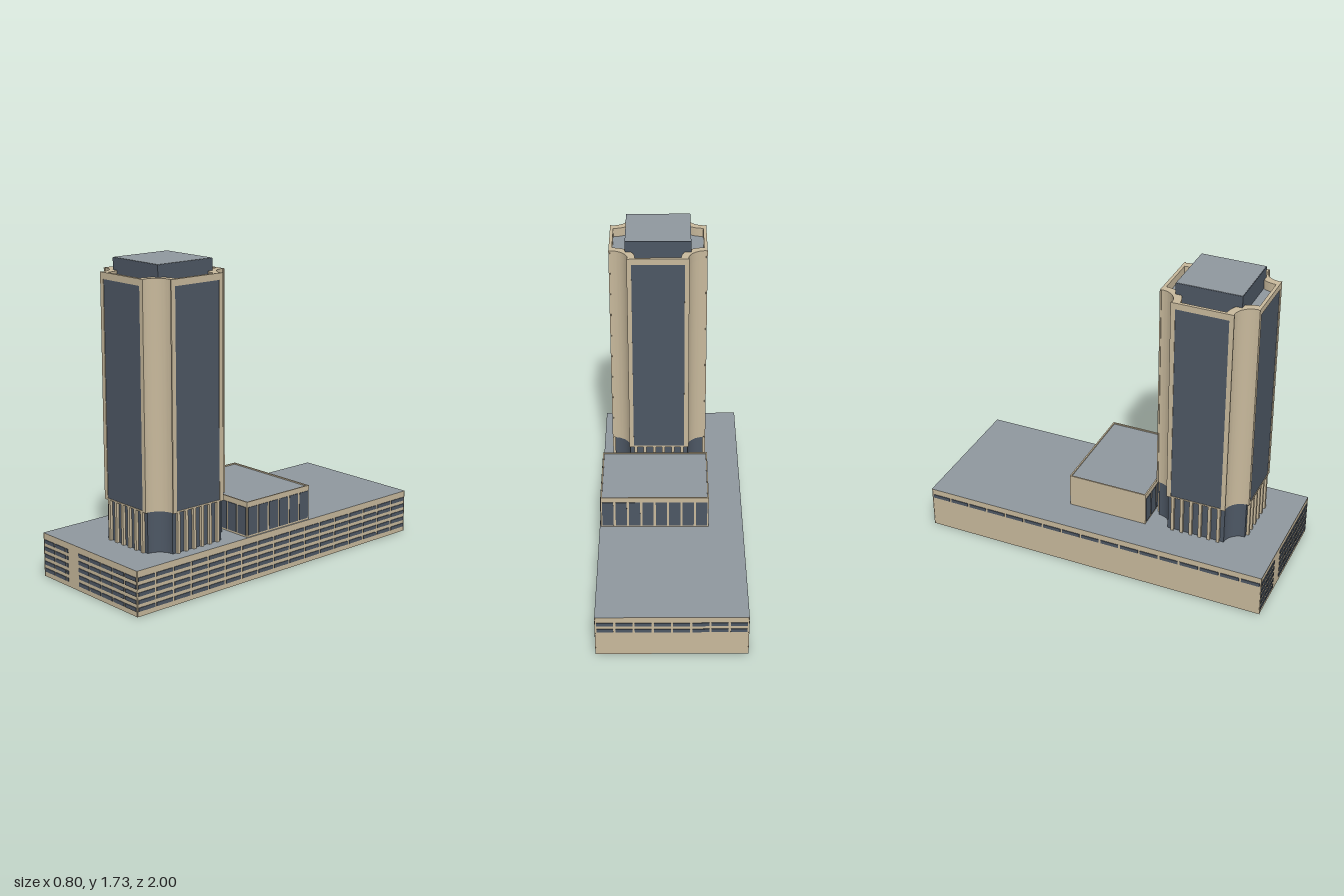
import * as THREE from 'three';
import { toCreasedNormals } from 'three/addons/utils/BufferGeometryUtils.js';

const material = (name, color, side = THREE.FrontSide) => {
  const m = new THREE.MeshStandardMaterial({ color, side });
  m.name = name;
  return m;
};

export function createModel() {
  const stone = material('sandstone', 0xc8b99c, THREE.DoubleSide);
  const glass = material('dark glass', 0x4d5764);
  const roof = material('grey roof', 0x8f989f, THREE.DoubleSide);
  const root = new THREE.Group();
  root.name = 'towerBlock';

  const add = (parent, name, geometry, mat, x = 0, y = 0, z = 0) => {
    const mesh = new THREE.Mesh(geometry, mat);
    mesh.name = name;
    mesh.position.set(x, y, z);
    parent.add(mesh);
    return mesh;
  };
  const box = (parent, name, mat, w, h, d, x, y, z) =>
    add(parent, name, new THREE.BoxGeometry(w, h, d), mat, x, y, z);
  const group = (parent, name, x = 0, z = 0) => {
    const g = new THREE.Group();
    g.name = name;
    g.position.set(x, 0, z);
    parent.add(g);
    return g;
  };
  // A face group: local x runs along the wall, local z points outward
  const face = (parent, name, angle, distance) => {
    const g = group(parent, name, Math.sin(angle) * distance, Math.cos(angle) * distance);
    g.rotation.y = angle;
    return g;
  };
  // A row of evenly spaced window plates between x0 and x1
  const windowRow = (parent, x0, x1, count, gap, y, h, depth = 0.006, z = 0.001) => {
    const pitch = (x1 - x0) / count;
    for (let i = 0; i < count; i++)
      box(parent, 'window', glass, pitch - gap, h, depth, x0 + (i + 0.5) * pitch, y, z);
  };

  // Long base: open underneath, with horizontal window bands
  const base = group(root, 'base');
  const H = 0.245;
  const rows = [0.198, 0.158, 0.118, 0.078, 0.038];
  const sides = [
    ['front', 0, 1, 0.8], ['right', Math.PI / 2, 0.4, 2],
    ['back', Math.PI, 1, 0.8], ['left', -Math.PI / 2, 0.4, 2],
  ];
  for (const [name, angle, distance, width] of sides) {
    const f = face(base, name + 'BaseWall', angle, distance - 0.003);
    add(f, 'wall', new THREE.PlaneGeometry(width, H), stone, 0, H / 2, 0);
    if (name === 'front') {
      for (const y of rows) {
        windowRow(f, -0.395, -0.198, 2, 0.01, y, 0.02);
        box(f, 'window', glass, 0.013, 0.02, 0.006, -0.187, y, 0.001);
        windowRow(f, -0.092, 0.395, 5, 0.01, y, 0.02);
      }
    } else {
      const count = name === 'back' ? 8 : 17;
      const used = { right: 5, back: 2, left: 1 }[name];
      for (const y of rows.slice(0, used))
        windowRow(f, -width / 2 + 0.003, width / 2 - 0.003, count, 0.012, y, 0.02);
    }
  }
  add(base, 'baseRoof', new THREE.PlaneGeometry(0.8, 2).rotateX(-Math.PI / 2), roof, 0, H, 0);

  // Low pavilion on the roof, with a thin parapet and tall windows
  const pavilion = group(root, 'pavilion', 0.0925, 0.02);
  const pw = 0.6, pd = 0.46;
  box(pavilion, 'pavilionBody', stone, pw, 0.185, pd, 0, H + 0.0925, 0);
  box(pavilion, 'pavilionRoof', roof, pw - 0.016, 0.004, pd - 0.016, 0, 0.431, 0);
  for (const s of [-1, 1]) {
    box(pavilion, 'parapet', stone, pw, 0.012, 0.008, 0, 0.434, s * (pd / 2 - 0.004));
    box(pavilion, 'parapet', stone, 0.008, 0.012, pd - 0.016, s * (pw / 2 - 0.004), 0.434, 0);
  }
  for (const [name, angle, distance, width, count] of [
    ['front', 0, pd / 2, pw, 8], ['right', Math.PI / 2, pw / 2, pd, 6], ['back', Math.PI, pd / 2, pw, 8],
  ]) {
    const f = face(pavilion, name + 'PavilionWindows', angle, distance);
    windowRow(f, -width / 2 + 0.002, width / 2 - 0.002, count, 0.012, 0.333, 0.155, 0.006, 0);
  }

  // Tower plan: a square with scooped corners
  const outline = (half, flat, Type = THREE.Shape) => {
    const s = new Type();
    const r = half - flat, q = Math.PI / 2;
    s.moveTo(flat, -half);
    s.absarc(half, -half, r, 2 * q, q, true);
    s.lineTo(half, flat);
    s.absarc(half, half, r, 3 * q, 2 * q, true);
    s.lineTo(-flat, half);
    s.absarc(-half, half, r, 4 * q, 3 * q, true);
    s.lineTo(-half, -flat);
    s.absarc(-half, -half, r, q, 0, true);
    s.closePath();
    return s;
  };
  const prism = (shape, y0, y1) => toCreasedNormals(
    new THREE.ExtrudeGeometry(shape, { depth: y1 - y0, bevelEnabled: false, curveSegments: 10 })
      .rotateX(-Math.PI / 2).translate(0, y0, 0), 0.6);

  const tower = group(root, 'tower', 0.07, 0.54);
  const top = 1.665;

  // Glazed lobby shell, open below
  const lobby = outline(0.255, 0.165);
  lobby.holes.push(outline(0.25, 0.16, THREE.Path));
  add(tower, 'lobby', prism(lobby, 0.005, 0.465), glass);

  // Shaft, sunken roof and parapet
  add(tower, 'shaft', prism(outline(0.262, 0.165), 0.465, 1.61), stone);
  add(tower, 'towerRoof', prism(outline(0.255, 0.155), 1.61, 1.615), roof);
  const parapet = outline(0.262, 0.165);
  parapet.holes.push(outline(0.252, 0.125, THREE.Path));
  add(tower, 'towerParapet', prism(parapet, 1.61, top), stone);

  // Framed glass and lobby columns on each of the four sides
  for (let i = 0; i < 4; i++) {
    const f = face(tower, 'towerFace', i * Math.PI / 2, 0.262);
    const frame = new THREE.Shape([[-0.17, 0.465], [0.17, 0.465], [0.17, top], [-0.17, top]]
      .map(p => new THREE.Vector2(...p)));
    frame.holes.push(new THREE.Path([[-0.145, 0.473], [-0.145, 1.63], [0.145, 1.63], [0.145, 0.473]]
      .map(p => new THREE.Vector2(...p))));
    add(f, 'windowFrame', new THREE.ExtrudeGeometry(frame, { depth: 0.008, bevelEnabled: false }), stone);
    box(f, 'towerGlass', glass, 0.29, 1.157, 0.004, 0, 1.0515, 0.003);
    for (let k = 0; k < 6; k++)
      box(f, 'lobbyColumn', stone, 0.017, 0.46, 0.022, (k - 2.5) * 0.0535, 0.235, -0.003);
  }

  // Plant room on top
  box(tower, 'plantRoom', glass, 0.36, 0.113, 0.36, 0, 1.6715, 0);
  box(tower, 'plantRoomRoof', roof, 0.356, 0.004, 0.356, 0, 1.728, 0);

  return root;
}
